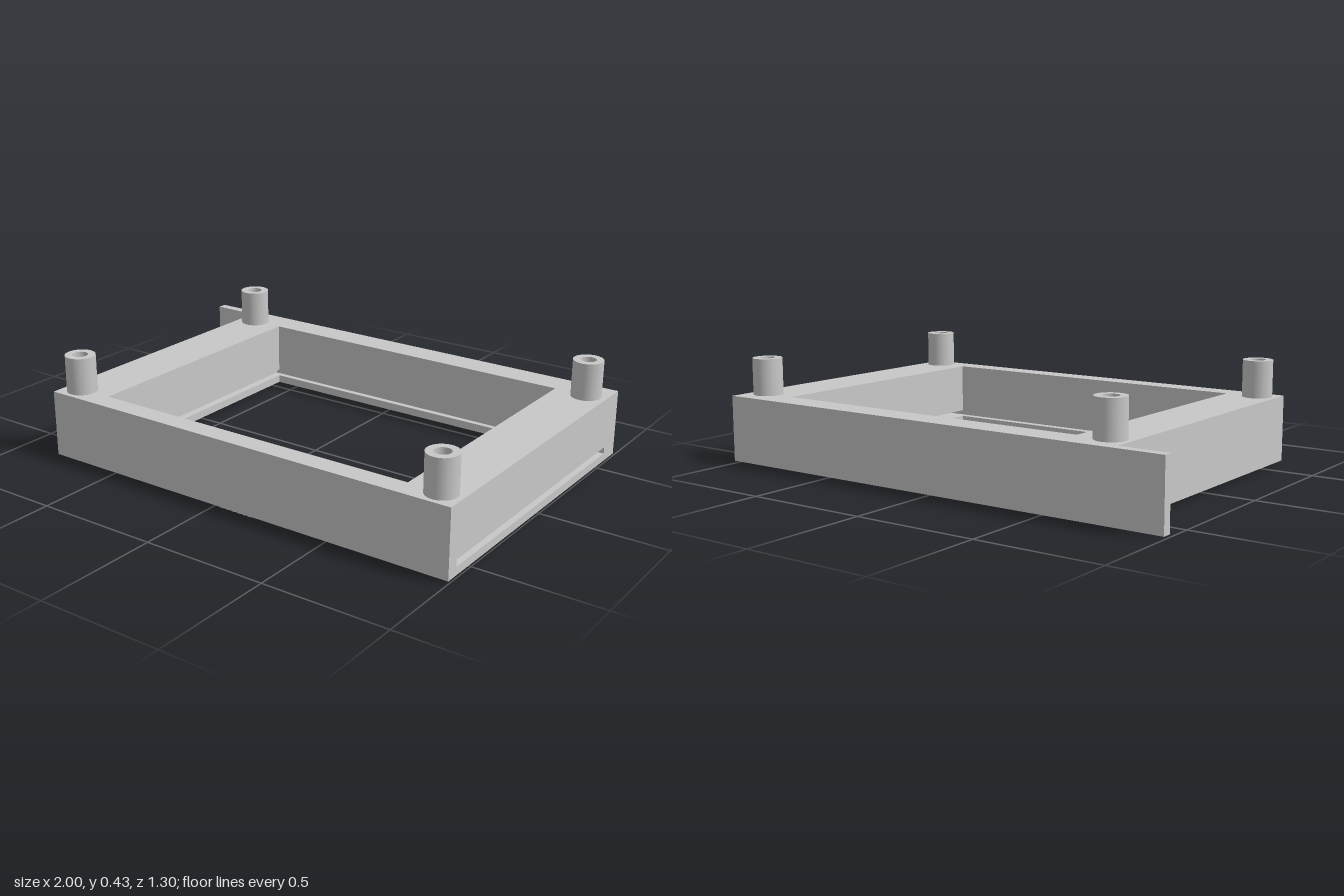
import * as THREE from 'three';

const grey = new THREE.MeshStandardMaterial({ color: 0xc8c8c8 });
grey.name = 'plain grey';

// Plan-view points are [x, z]; z is negated so the extrusion can be laid flat.
const toPath = (points, Type) => new Type(points.map(([x, z]) => new THREE.Vector2(x, -z)));

// Horizontal slab with an optional opening, from y0 to y1
function slab(name, outline, opening, y0, y1) {
  const shape = toPath(outline, THREE.Shape);
  if (opening) shape.holes.push(toPath(opening, THREE.Path));
  const geometry = new THREE.ExtrudeGeometry(shape, { depth: y1 - y0, bevelEnabled: false });
  geometry.rotateX(-Math.PI / 2).translate(0, y0, 0);
  const mesh = new THREE.Mesh(geometry, grey);
  mesh.name = name;
  return mesh;
}

// Hollow post with a blind bore; doubled points keep the rims sharp
function post(x, z) {
  const r = 0.06, bore = 0.031, h = 0.149;
  const profile = [[r, 0], [r, h], [r, h], [bore, h], [bore, h], [bore, 0.002], [bore, 0.002], [0, 0.002]];
  const geometry = new THREE.LatheGeometry(profile.map(([a, b]) => new THREE.Vector2(a, b)), 40);
  const mesh = new THREE.Mesh(geometry, grey);
  mesh.name = 'mountingPost';
  mesh.position.set(x, 0.277, z);
  return mesh;
}

export function createModel() {
  const model = new THREE.Group();
  model.name = 'panelFrame';

  // Frame outline including the tab that continues the back wall
  const backTab = [[-1, -0.65], [1, -0.65]];
  const tabEnd = [[-0.8, -0.613], [-1, -0.613]];
  const outline = [...backTab, [1, 0.65], [-0.8, 0.65], ...tabEnd];
  // The opening runs opposite to the outline so its walls face inwards
  const opening = [[-0.587, -0.533], [-0.587, 0.566], [0.785, 0.566], [0.785, -0.533]];

  // Middle layer is open on the left side, forming the slide-in slot and inner groove
  const slotLayer = [...backTab, [1, -0.557], [-0.62, -0.557], [-0.62, 0.6], [1, 0.6],
    [1, 0.65], [-0.8, 0.65], ...tabEnd];

  model.add(
    slab('frameBottom', outline, opening, 0.01, 0.042),
    slab('frameSlotLayer', slotLayer, null, 0.042, 0.069),
    slab('frameTop', outline, opening, 0.069, 0.277),
  );

  // Corner posts
  for (const x of [-0.72, 0.918]) for (const z of [-0.53, 0.572]) model.add(post(x, z));

  // Two rows of small raised pads under the front rail
  for (const z of [0.609, 0.629]) {
    for (let i = 0; i < 6; i++) {
      const pad = new THREE.Mesh(new THREE.BoxGeometry(0.018, 0.01, 0.016), grey);
      pad.name = 'undersidePad';
      pad.position.set(0.035 + i * 0.0256, 0.005, z);
      model.add(pad);
    }
  }
  return model;
}
